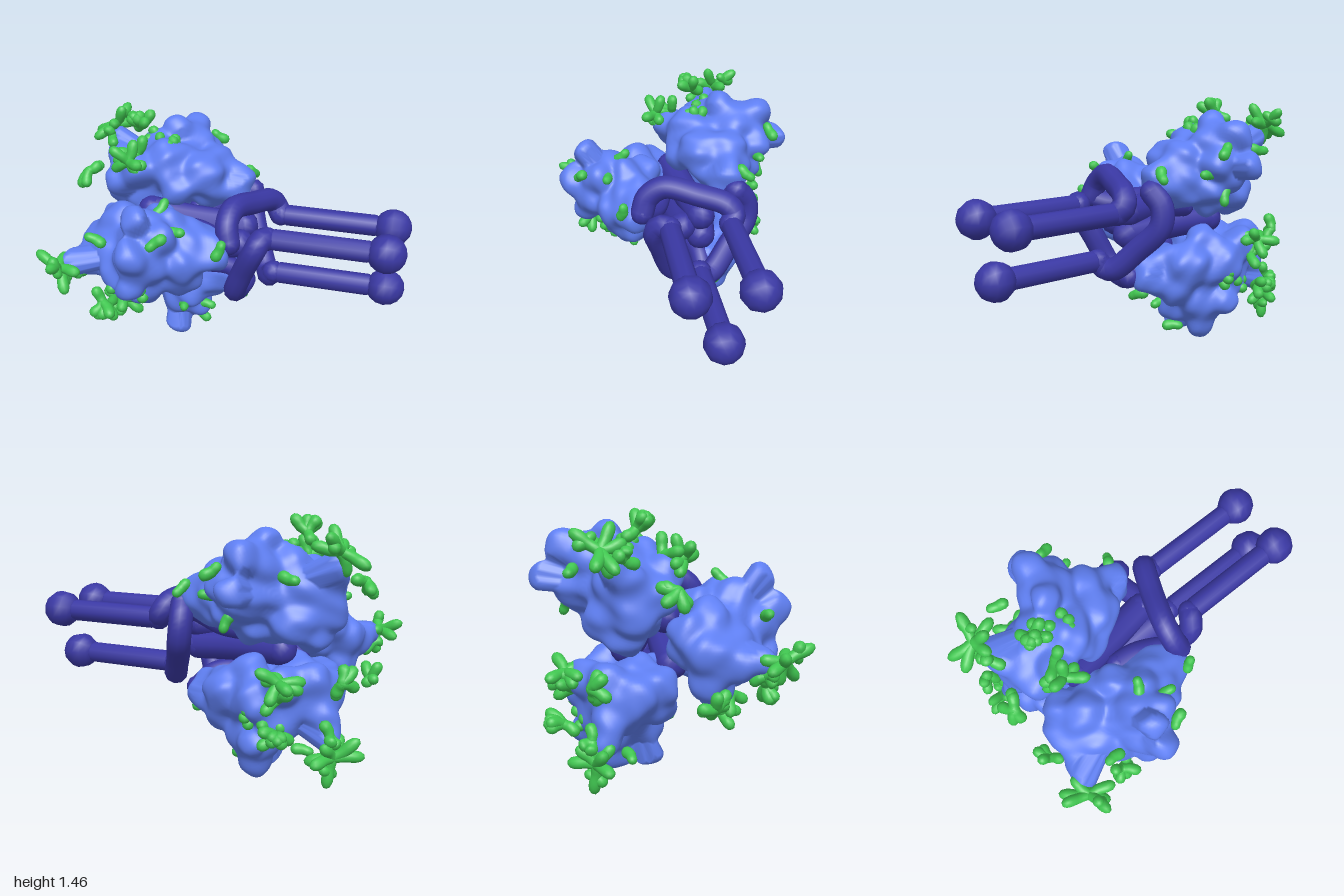
import * as THREE from 'three';
import { mergeVertices } from 'three/addons/utils/BufferGeometryUtils.js';

const blue = new THREE.MeshStandardMaterial({ color: 0x5f7ff2 });
const navy = new THREE.MeshStandardMaterial({ color: 0x3a38a4 });
const green = new THREE.MeshStandardMaterial({ color: 0x40c650 });

// Axis runs along x; u and v span the plane across it
const P = (x, u, v) => new THREE.Vector3(x, v, -u);
// Same, from an angle in degrees and a distance to the axis
const polar = (x, deg, r) => P(x, r * Math.cos(deg * Math.PI / 180), r * Math.sin(deg * Math.PI / 180));

function seeded(seed) {
  return () => {
    seed = (seed * 16807) % 2147483647;
    return seed / 2147483647;
  };
}

function add(group, name, geometry, material) {
  const mesh = new THREE.Mesh(geometry, material);
  mesh.name = name;
  group.add(mesh);
  return mesh;
}

// Smoothly blended balls [x, u, v, radius], wrapped by shrinking a sphere onto them
function blobGeometry(balls, center, detail, sharpness, bump) {
  const items = balls.map(([x, u, v, r]) => ({ p: P(x, u, v), r }));
  const distance = (q) => {
    let sum = 0;
    for (const { p, r } of items) sum += Math.exp(-sharpness * (q.distanceTo(p) - r));
    const wave = Math.sin(q.x * 24 + q.y * 9) * Math.sin(q.y * 23 + q.z * 8) * Math.sin(q.z * 25 + 1 + q.x * 7);
    return -Math.log(sum) / sharpness - bump * wave;
  };
  let geo = new THREE.IcosahedronGeometry(1, detail);
  geo.deleteAttribute('uv');
  geo.deleteAttribute('normal');
  geo = mergeVertices(geo);
  const pos = geo.attributes.position;
  const dir = new THREE.Vector3();
  const q = new THREE.Vector3();
  for (let i = 0; i < pos.count; i++) {
    dir.fromBufferAttribute(pos, i).normalize();
    let t = 1;
    for (let k = 0; k < 60; k++) {
      q.copy(center).addScaledVector(dir, t);
      const d = distance(q);
      if (d < 0.001 || t < 0.02) break;
      t -= d * 0.8;
    }
    pos.setXYZ(i, q.x, q.y, q.z);
  }
  geo.computeVertexNormals();
  return geo;
}

const LOBE = [
  // outer crown
  [-.40, .15, -.35, .19], [-.40, .05, -.50, .11], [-.40, .22, -.50, .14], [-.40, .01, -.67, .075],
  [-.41, .21, -.66, .085], [-.45, .38, -.49, .07], [-.30, .10, -.55, .09], [-.30, .00, -.42, .09],
  // side towards the stalks
  [-.20, .10, -.30, .15], [-.20, .20, -.40, .10], [-.08, .10, -.30, .11], [-.02, .14, -.33, .065], [-.25, .25, -.25, .13],
  // far side
  [-.60, .20, -.30, .16], [-.70, .18, -.25, .14], [-.78, .10, -.20, .09], [-.79, .25, -.32, .085], [-.82, .28, -.43, .075],
  // flanks
  [-.45, .33, -.25, .13], [-.60, .35, -.15, .10], [-.62, .00, -.30, .11], [-.40, -.02, -.30, .10],
  [-.55, .30, -.38, .11], [-.60, .10, -.15, .11],
  // towards the axis
  [-.70, .00, -.18, .10], [-.48, .02, -.18, .10], [-.74, .26, -.13, .09], [-.38, .24, -.12, .09],
];

// Small surface chains: [x, u, v]
const NUBS = [
  [-.33, -.08, -.49], [.01, .11, -.42], [-.22, .05, -.53], [-.27, .12, -.67],
  [-.85, .33, -.60], [-.65, .14, -.58],
];

// Branched chains: [x, angle, distance from axis, reach, arms]
const CLUSTERS = [
  [-.63, -39, .62, .095, 8], [-.62, -14, .48, .1, 7], [-.87, -58, .61, .125, 8],
  [-.43, -41, .48, .09, 5], [-.91, -18, .36, .09, 5], [-.55, -48, .53, .085, 4],
  [-.60, -26, .48, .1, 5], [-.86, -50, .53, .07, 3],
];

// Knobbly rounded rod, shared by all chains
const nubGeo = blobGeometry(
  [[-.036, 0, 0, .022], [.036, .006, .004, .027], [0, -.004, .008, .02]],
  new THREE.Vector3(), 3, 80, .004);

function nub(group, name, from, to, thick) {
  const mesh = add(group, name, nubGeo, green);
  const dir = to.clone().sub(from);
  mesh.position.copy(from).add(to).multiplyScalar(.5);
  mesh.quaternion.setFromUnitVectors(new THREE.Vector3(1, 0, 0), dir.clone().normalize());
  mesh.scale.set(dir.length() / .075, thick, thick);
}

function randomDirection(rand) {
  const y = rand() * 2 - 1;
  const a = rand() * Math.PI * 2;
  const s = Math.sqrt(1 - y * y);
  return new THREE.Vector3(s * Math.cos(a), y, s * Math.sin(a));
}

// Bent tube with round ends
function pipe(group, name, points, radius) {
  const part = new THREE.Group();
  part.name = name;
  const curve = new THREE.CatmullRomCurve3(points, false, 'centripetal');
  add(part, name + 'Tube', new THREE.TubeGeometry(curve, 28, radius, 10), navy);
  for (const p of [points[0], points[points.length - 1]])
    add(part, name + 'End', new THREE.SphereGeometry(radius, 10, 8), navy).position.copy(p);
  group.add(part);
}

export function createModel() {
  const model = new THREE.Group();
  model.name = 'trimer';
  const lobeGeo = blobGeometry(LOBE, P(-.42, .16, -.32), 30, 45, .015);

  for (let i = 0; i < 3; i++) {
    const unit = new THREE.Group();
    unit.name = 'unit' + (i + 1);
    unit.rotation.x = i * Math.PI * 2 / 3;
    unit.position.set(0, .75, -.055);
    model.add(unit);

    add(unit, 'lobe', lobeGeo, blue);

    // Collar, core and stalk
    pipe(unit, 'collar', [
      P(.03, -.305, .11), P(.01, -.27, .2), P(.02, -.175, .26), P(.09, .01, .23),
      P(.165, .17, .19), P(.19, .2, .14), P(.22, .175, .1),
    ], .068);
    pipe(unit, 'link', [P(.03, -.305, .11), P(-.06, -.22, .08), P(-.18, -.17, .1), P(-.3, -.15, .1)], .062);
    pipe(unit, 'coreHelix', [polar(.03, 60, .075), polar(-.15, 85, .08), polar(-.35, 105, .11), polar(-.52, 112, .15)], .085);
    const stalk = new THREE.LatheGeometry([
      [0, .22], [.045, .225], [.063, .26], [.063, .79], [.045, .825], [0, .83],
    ].map(([r, y]) => new THREE.Vector2(r, y)), 10);
    stalk.rotateZ(-Math.PI / 2);
    add(unit, 'stalk', stalk, navy).position.copy(P(0, .175, .1));
    const knob = add(unit, 'knob', new THREE.SphereGeometry(.11, 10, 8), navy);
    knob.position.copy(P(.89, .175, .1));
    knob.rotation.z = Math.PI / 2;

    // Short chains lying on the lobe
    const rand = seeded(4711);
    for (const [x, u, v] of NUBS) {
      const c = P(x, u, v);
      const d = randomDirection(rand);
      const out = c.clone().setX(0).normalize();
      d.addScaledVector(out, -.9 * d.dot(out)).setLength(.04);
      nub(unit, 'shortChain', c.clone().sub(d), c.clone().add(d), 1.05);
    }

    // Branched chains
    for (const [x, deg, r, reach, arms] of CLUSTERS) {
      const cluster = new THREE.Group();
      cluster.name = 'branchedChain';
      const c = polar(x, deg, r);
      for (let k = 0; k < arms; k++) {
        const tip = c.clone().addScaledVector(randomDirection(rand), reach * (.7 + .35 * rand()));
        nub(cluster, 'branch', c, tip, 1.05);
      }
      unit.add(cluster);
    }
  }
  return model;
}
